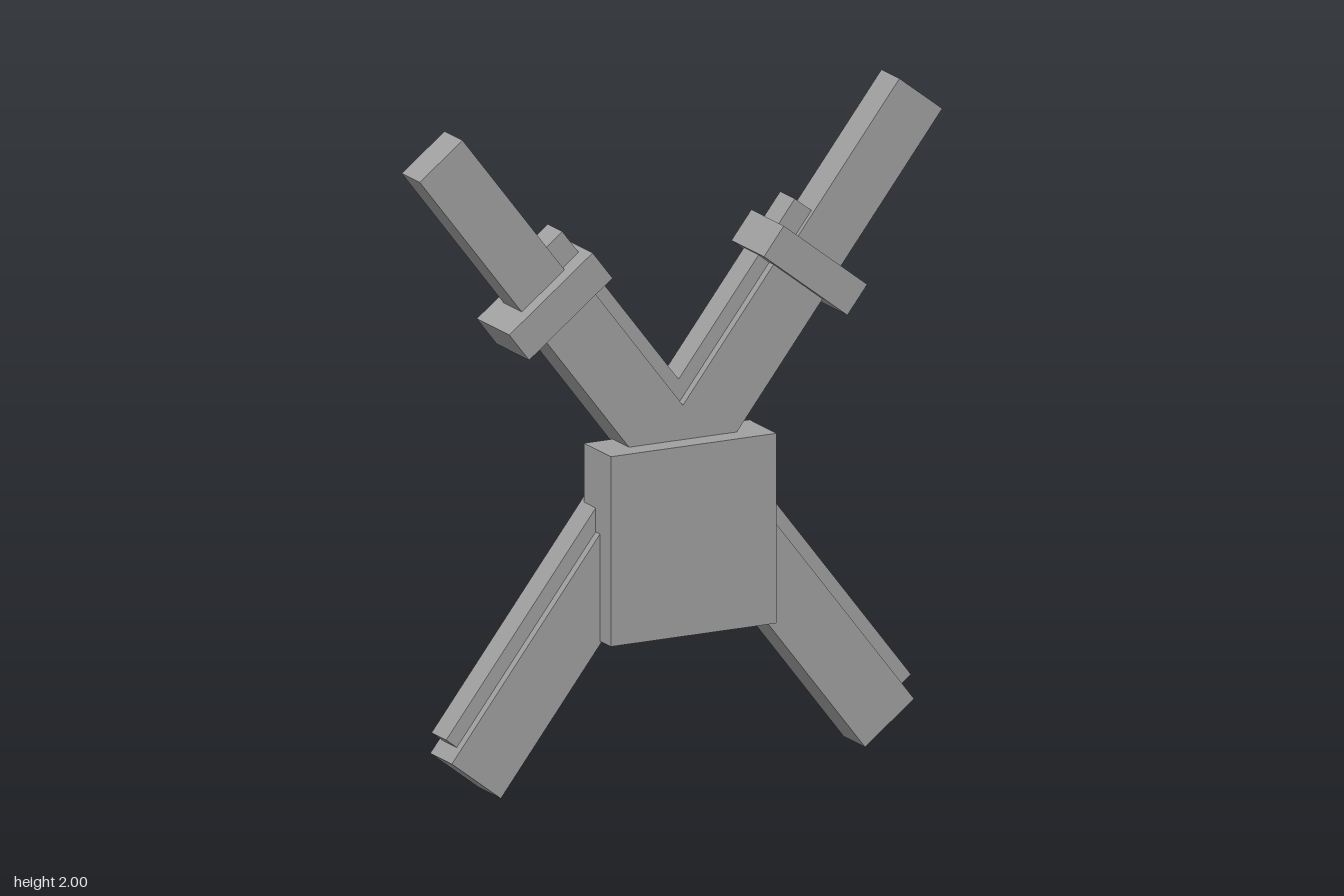
import * as THREE from 'three';

const TILT = THREE.MathUtils.degToRad(37.7);

export function createModel() {
  const model = new THREE.Group();
  model.name = 'crossedBeams';
  const grey = new THREE.MeshStandardMaterial({ color: 0xa0a0a0 });
  grey.name = 'grey';

  // box given by its limits on each axis
  function box(parent, name, [x0, x1], [y0, y1], [z0, z1]) {
    const mesh = new THREE.Mesh(new THREE.BoxGeometry(Math.abs(x1 - x0), y1 - y0, z1 - z0), grey);
    mesh.position.set((x0 + x1) / 2, (y0 + y1) / 2, (z0 + z1) / 2);
    mesh.name = name;
    parent.add(mesh);
    return mesh;
  }

  // two mirrored arms, each built upright and then tilted
  for (const side of [1, -1]) {
    const arm = new THREE.Group();
    arm.name = side > 0 ? 'armRisingLeft' : 'armRisingRight';
    arm.rotation.z = -side * TILT;
    const across = (a, b) => [side * a, side * b];
    box(arm, 'thickBeam', across(-0.678, -0.474), [-0.367, 1.38], [-0.083, 0.051]);
    box(arm, 'thinBeam', across(-0.653, -0.475), [1.38, 2.021], [-0.073, 0.039]);
    box(arm, 'rail', across(-0.722, -0.65), [-0.317, 1.56], [-0.067, 0.024]);
    box(arm, 'collar', across(-0.74, -0.393), [1.365, 1.472], [-0.118, 0.084]);
    model.add(arm);
  }

  // block in front of the crossing
  box(model, 'frontBlock', [-0.273, 0.273], [0.432, 1.005], [-0.05, 0.118]);

  // tilted square tab on the back
  const tab = box(model, 'backTab', [-0.114, 0.114], [0.616, 0.844], [-0.097, -0.04]);
  tab.rotation.z = -TILT;

  return model;
}
